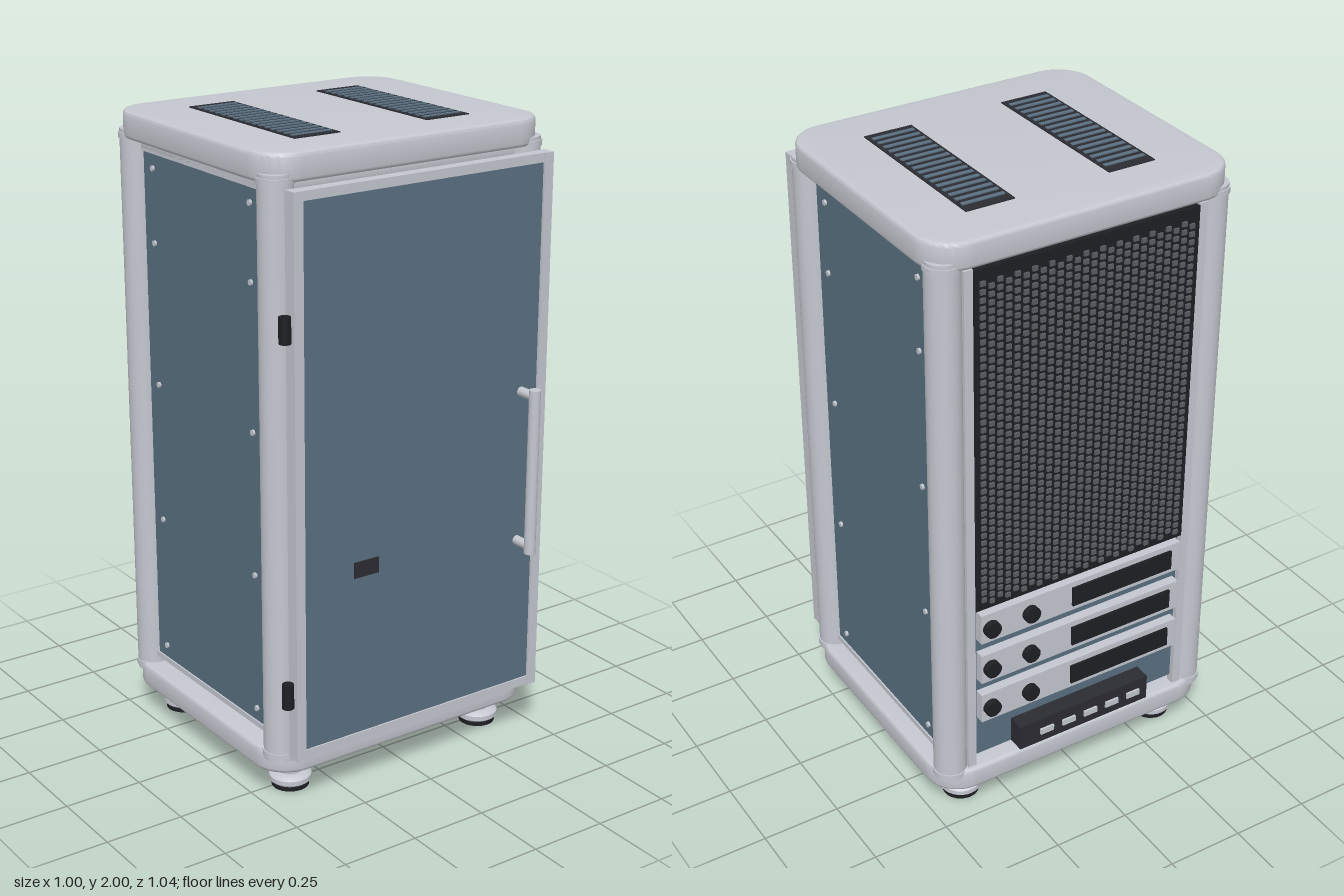
import * as THREE from 'three';
import { mergeGeometries, toCreasedNormals } from 'three/addons/utils/BufferGeometryUtils.js';

const mat = (name, color) => {
  const m = new THREE.MeshStandardMaterial({ color });
  m.name = name;
  return m;
};

export function createModel() {
  const root = new THREE.Group();
  root.name = 'cabinet';
  const metal = mat('light metal', 0xc4c7cf);
  const blue = mat('slate panel', 0x5a7081);
  const dark = mat('dark plastic', 0x2b2b33);
  const black = mat('black rubber', 0x1e1f23);
  const grey = mat('mesh grey', 0x5a5c62);
  const cableBlue = mat('cable blue', 0x2a80b5);

  const add = (name, geo, material, parent = root) => {
    const m = new THREE.Mesh(geo, material);
    m.name = name;
    parent.add(m);
    return m;
  };
  // box given by its limits on each axis
  const block = (x0, x1, y0, y1, z0, z1) =>
    new THREE.BoxGeometry(x1 - x0, y1 - y0, z1 - z0)
      .translate((x0 + x1) / 2, (y0 + y1) / 2, (z0 + z1) / 2);
  const box = (name, material, ...b) => add(name, block(...b), material);
  const cyl = (name, material, r, h, x, y, z, axis = 'y', seg = 24) => {
    const g = new THREE.CylinderGeometry(r, r, h, seg);
    if (axis === 'x') g.rotateZ(Math.PI / 2);
    if (axis === 'z') g.rotateX(Math.PI / 2);
    return add(name, g.translate(x, y, z), material);
  };

  // rounded slab for the top cap and the base tray
  const slab = (name, y0, y1, hx, z0, z1, r, bevel) => {
    const s = new THREE.Shape();
    const a = -z1, b = -z0, q = Math.PI / 2;
    s.absarc(hx - r, a + r, r, -q, 0);
    s.absarc(hx - r, b - r, r, 0, q);
    s.absarc(-hx + r, b - r, r, q, 2 * q);
    s.absarc(-hx + r, a + r, r, 2 * q, 3 * q);
    s.closePath();
    const g = new THREE.ExtrudeGeometry(s, {
      depth: y1 - y0 - 2 * bevel, bevelSize: bevel, bevelThickness: bevel,
      bevelOffset: -bevel, bevelSegments: 3, curveSegments: 10,
    });
    g.rotateX(-Math.PI / 2).translate(0, y0 + bevel, 0);
    add(name, toCreasedNormals(g, 0.6), metal);
  };
  slab('topCap', 1.91, 1.994, 0.498, -0.49, 0.385, 0.115, 0.012);
  slab('topFrame', 1.88, 1.912, 0.455, -0.45, 0.345, 0.07, 0.004);
  slab('baseTray', 0.1, 0.175, 0.498, -0.49, 0.385, 0.115, 0.012);

  // corner posts with collars, and feet
  for (const x of [-1, 1]) {
    for (const z of [0.328, -0.428]) {
      cyl('cornerPost', metal, 0.052, 1.79, x * 0.44, 1.04, z);
      for (const y of [0.165, 1.915]) cyl('postCollar', metal, 0.056, 0.018, x * 0.44, y, z);
    }
    for (const z of [0.267, -0.365]) {
      const pts = [[0, 0.1], [0.037, 0.1], [0.037, 0.048], [0.055, 0.045], [0.066, 0.037],
        [0.066, 0.022], [0.055, 0.013], [0, 0.013]].reverse();
      const foot = new THREE.LatheGeometry(pts.map(p => new THREE.Vector2(...p)), 28);
      add('foot', toCreasedNormals(foot, 0.5), metal).position.set(x * 0.367, 0, z);
      cyl('footPad', black, 0.058, 0.014, x * 0.367, 0.007, z);
    }
  }

  // side panels with screws and edge rails
  for (const s of [-1, 1]) {
    const side = (name, m, x0, x1, ...b) => box(name, m, Math.min(s * x0, s * x1), Math.max(s * x0, s * x1), ...b);
    side('sidePanel', blue, 0.43, 0.45, 0.215, 1.875, -0.372, 0.272);
    for (const y of [0.26, 0.7, 1.15, 1.6, 1.83])
      for (const z of [0.217, -0.317]) cyl('panelScrew', metal, 0.009, 0.008, s * 0.453, y, z, 'x', 12);
    side('sideRailTop', metal, 0.43, 0.455, 1.875, 1.9, -0.4, 0.3);
    side('sideRailBottom', metal, 0.43, 0.455, 0.2, 0.217, -0.4, 0.3);
    side('backRail', metal, 0.372, 0.4, 0.175, 1.9, -0.472, -0.445);
    side('frontRail', metal, 0.37, 0.4, 0.175, 1.9, 0.26, 0.285);
  }

  // inner rack faces
  box('backPanel', blue, -0.4, 0.4, 0.2, 1.88, -0.455, -0.44);
  box('rackFloor', metal, -0.43, 0.43, 0.2, 0.215, -0.44, 0.265);
  box('frontRackPanel', dark, -0.37, 0.37, 0.2, 1.88, 0.262, 0.274);

  // staggered raised strands of a mesh; put() makes each small box from grid coordinates
  const strands = (name, cols, rows, put) => {
    const list = [];
    for (let c = 0; c < cols; c++)
      for (let r = 0; r < rows; r++) list.push(put(c, r, (c % 2) * 0.5));
    add(name, mergeGeometries(list), grey);
  };
  box('backMeshPlate', black, -0.372, 0.372, 0.765, 1.895, -0.474, -0.455);
  strands('backMesh', 26, 42, (c, r, o) => {
    const x = -0.345 + c * 0.0276, y = 0.79 + (r + o) * 0.0256;
    return block(x - 0.008, x + 0.008, y - 0.007, y + 0.007, -0.481, -0.474);
  });

  // top louvres and bottom grilles
  for (const s of [-1, 1]) {
    const cx = s * 0.232;
    box('topVent', dark, cx - 0.078, cx + 0.078, 1.985, 1.997, -0.335, 0.231);
    for (let i = 0; i < 16; i++) {
      const z = -0.295 + i * 0.0329;
      box('topLouvre', blue, cx - 0.068, cx + 0.068, 1.99, 2.0, z - 0.007, z + 0.007);
    }
    const bx = s * 0.2;
    box('bottomGrille', black, bx - 0.11, bx + 0.11, 0.095, 0.105, -0.335, 0.231);
    strands('bottomMesh', 8, 18, (c, r) => {
      const x = bx - 0.091 + c * 0.026, z = -0.31 + r * 0.0304;
      return block(x - 0.008, x + 0.008, 0.092, 0.096, z - 0.006, z + 0.006);
    });
  }

  // rear rack units with knobs and displays
  for (const y of [0.4, 0.55, 0.7]) {
    box('rackUnit', metal, -0.36, 0.36, y - 0.052, y + 0.052, -0.486, -0.45);
    box('unitDisplay', black, -0.325, 0.04, y - 0.033, y + 0.033, -0.494, -0.486);
    for (const x of [0.328, 0.19]) cyl('unitKnob', black, 0.027, 0.022, x, y, -0.495, 'z', 20);
  }

  // power strip with outlets
  box('powerStrip', dark, -0.24, 0.236, 0.2, 0.288, -0.51, -0.45);
  for (let i = 0; i < 5; i++) {
    const x = -0.18 + i * 0.081;
    box('outlet', metal, x - 0.024, x + 0.024, 0.238, 0.258, -0.523, -0.516);
    box('outletStem', black, x - 0.008, x + 0.008, 0.242, 0.254, -0.517, -0.509);
  }

  // cable loops behind the door
  for (let i = 0; i < 7; i++) {
    const x = -0.19 + i * 0.036;
    const path = new THREE.CatmullRomCurve3([[0, 0.73, 0.27], [0.01, 0.73, 0.36], [0.03, 0.765, 0.397],
      [0.05, 0.85, 0.39], [0.06, 0.905, 0.35], [0.06, 0.9, 0.27]]
      .map(p => new THREE.Vector3(x + p[0], p[1] + (i % 3) * 0.006, p[2])));
    add('cable', new THREE.TubeGeometry(path, 24, 0.008, 8), cableBlue);
  }

  // door
  for (const s of [-1, 1]) {
    const x = s * 0.443;
    box('doorStile', metal, x - 0.016, x + 0.016, 0.178, 1.902, 0.403, 0.446);
    const y = s < 0 ? 0.194 : 1.888;
    box('doorRail', metal, -0.43, 0.43, y - 0.014, y + 0.014, 0.406, 0.443);
  }
  box('doorPanel', blue, -0.43, 0.43, 0.205, 1.876, 0.409, 0.438);
  box('doorLabel', dark, -0.25, -0.162, 0.718, 0.768, 0.437, 0.442);

  // handle and hinges
  cyl('handleBar', metal, 0.018, 0.53, 0.368, 0.935, 0.503);
  for (const y of [0.692, 1.178]) cyl('handleStandoff', metal, 0.015, 0.07, 0.368, y, 0.468, 'z', 16);
  for (const y of [0.395, 1.515]) cyl('hinge', black, 0.018, 0.078, -0.477, y, 0.425, 'y', 20);

  return root;
}
